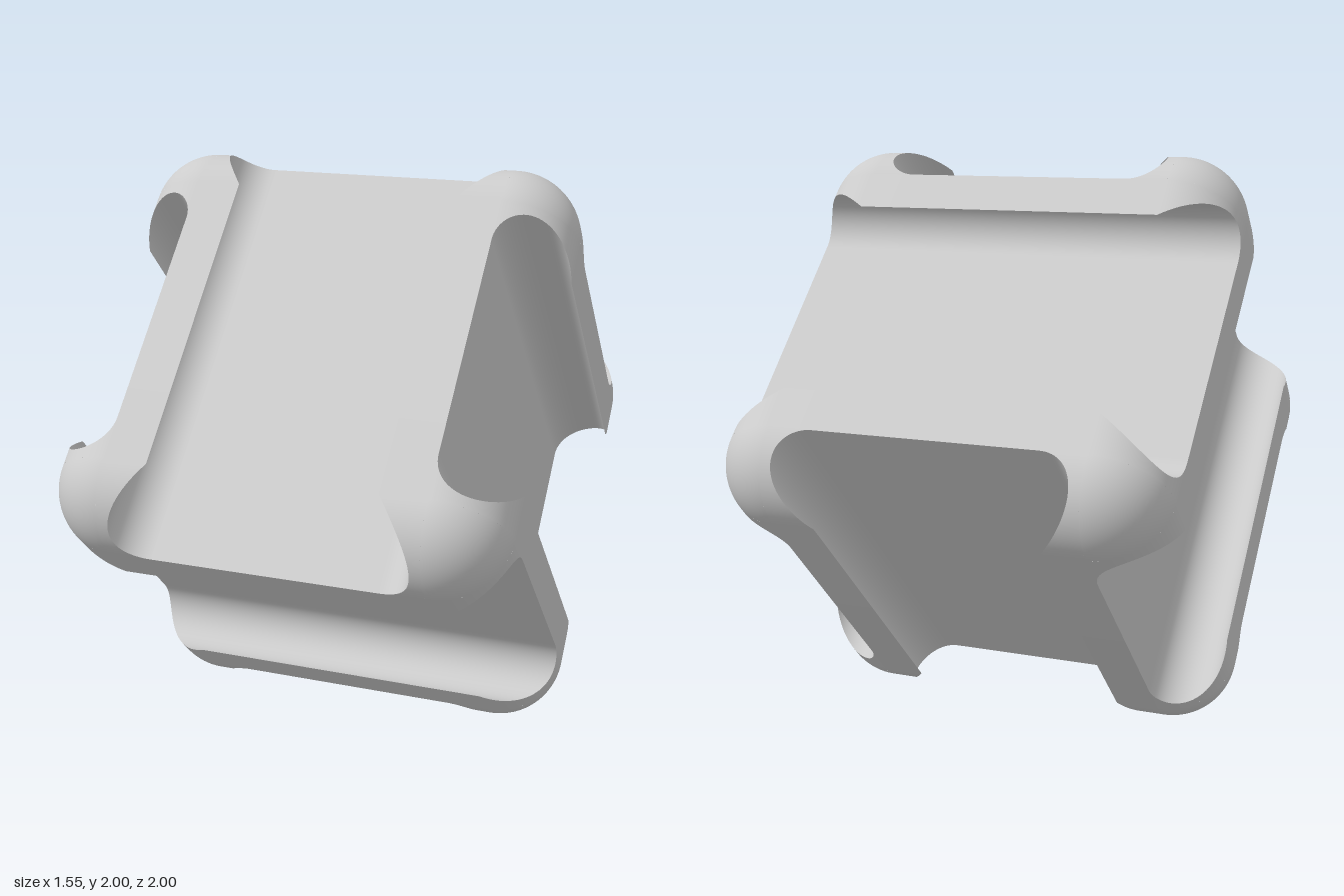
import * as THREE from 'three';
import { toCreasedNormals } from 'three/addons/utils/BufferGeometryUtils.js';

const CORE = 0.543;       // half size of the inner cube
const ROUND = 0.232;      // edge rounding, also the channel depth
const CHANNEL = 0.39;     // half width of a channel mouth
const BORE = ROUND / 2;   // radius of the undercut channel sides
const LEVELS = 32;

// Rail along x on the +z face: undercut on its inner side, rounded down at both ends
function railGeometry() {
  const points = [], index = [];
  for (let j = 0; j <= LEVELS; j++) {
    const a = (j / LEVELS) * Math.PI;
    const h = BORE * (1 - Math.cos(a));
    const len = CORE + Math.sqrt(Math.max(0, ROUND * ROUND - h * h));
    const inner = CHANNEL + BORE * Math.sin(a);
    const z = CORE + h;
    points.push(-len, inner, z, len, inner, z, len, CORE, z, -len, CORE, z);
    if (j === LEVELS) break;
    for (let k = 0; k < 4; k++) {
      const p = j * 4 + k, q = j * 4 + ((k + 1) % 4);
      index.push(p, q, q + 4, p, q + 4, p + 4);
    }
  }
  const top = LEVELS * 4;
  index.push(top, top + 1, top + 2, top, top + 2, top + 3);
  const geometry = new THREE.BufferGeometry();
  geometry.setAttribute('position', new THREE.Float32BufferAttribute(points, 3));
  geometry.setIndex(index);
  return toCreasedNormals(geometry, Math.PI / 6);
}

// One eighth of a sphere on a cube corner, on the +x or -x side
function cornerGeometry(side) {
  const start = side > 0 ? Math.PI / 2 : 0;
  return new THREE.SphereGeometry(ROUND, 24, 24, start, Math.PI / 2, 0, Math.PI / 2)
    .translate(side * CORE, CORE, CORE);
}

export function createModel() {
  const model = new THREE.Group();
  model.name = 'channelledCube';
  const material = new THREE.MeshStandardMaterial({ color: 0xcccccc });
  const cube = new THREE.Group();
  cube.name = 'tiltedCube';
  const add = (geometry, name, matrix) => {
    const mesh = new THREE.Mesh(geometry, material);
    mesh.name = name;
    if (matrix) mesh.applyMatrix4(matrix);
    cube.add(mesh);
  };

  add(new THREE.BoxGeometry(2 * CORE, 2 * CORE, 2 * CORE), 'core');

  // Half turns reach every side; the cyclic turn moves z to x to y
  const halfTurns = [
    new THREE.Matrix4(),
    new THREE.Matrix4().makeRotationX(Math.PI),
    new THREE.Matrix4().makeRotationY(Math.PI),
    new THREE.Matrix4().makeRotationZ(Math.PI),
  ];
  const cycle = new THREE.Matrix4().makeBasis(
    new THREE.Vector3(0, 1, 0), new THREE.Vector3(0, 0, 1), new THREE.Vector3(1, 0, 0));

  const rail = railGeometry();
  const corners = [cornerGeometry(1), cornerGeometry(-1)];
  for (const turn of halfTurns) {
    const m = turn.clone();
    for (let axis = 0; axis < 3; axis++) {
      add(rail, 'channelRail', m);
      m.premultiply(cycle);
    }
    for (const corner of corners) add(corner, 'roundedCorner', turn);
  }

  // Stands on one edge
  cube.rotation.x = Math.PI / 4;
  cube.position.y = 1;
  model.add(cube);
  return model;
}
